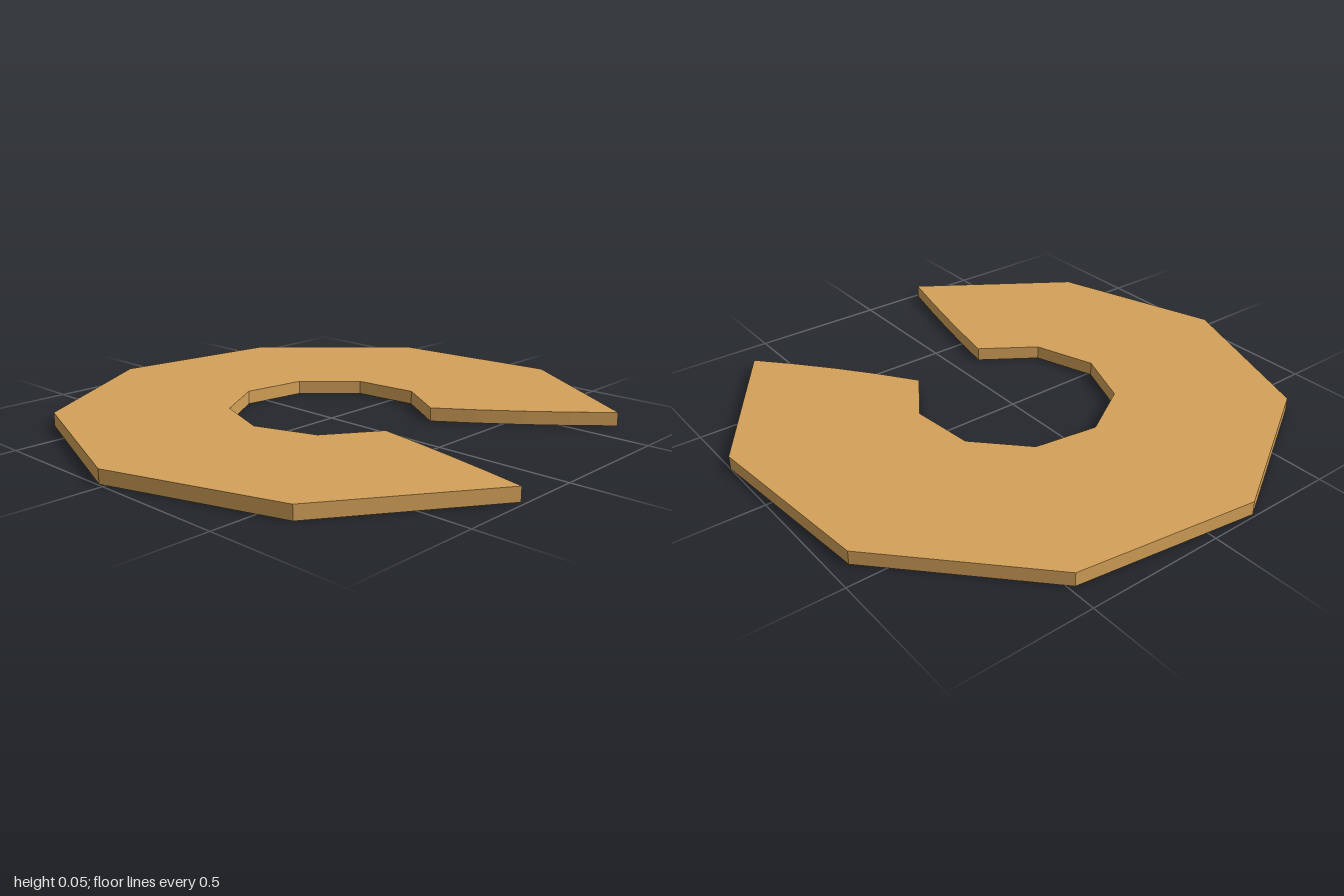
import * as THREE from 'three';

const THICKNESS = 0.05;
const BANDS = 4;

// Corners of the open ring as [x, z], from one cut end round to the other
const outer = [
  [0.81, -0.635], [0.255, -1], [-0.415, -0.94], [-0.9, -0.48], [-0.99, 0.18],
  [-0.65, 0.757], [-0.025, 0.995], [0.61, 0.795], [0.985, 0.24],
];
const inner = [
  [0.287, -0.22], [0.09, -0.35], [-0.155, -0.327], [-0.33, -0.16], [-0.363, 0.08],
  [-0.237, 0.287], [-0.013, 0.373], [0.217, 0.297], [0.35, 0.102],
];

// Outline at fraction t from the outer edge to the inner one; the cut ends bow slightly
function outline(t) {
  const bow = 4 * t * (1 - t);
  return outer.map(([x, z], i) => {
    const p = new THREE.Vector2(x, z).lerp(new THREE.Vector2(...inner[i]), t);
    if (i === 0) p.add(new THREE.Vector2(0.007, 0.012).multiplyScalar(bow));
    if (i === outer.length - 1) p.y -= 0.006 * bow;
    return p;
  });
}

export function createModel() {
  const model = new THREE.Group();
  model.name = 'openRingBench';
  const wood = new THREE.MeshStandardMaterial({ color: 0xd4a159 });
  wood.name = 'warm wood';

  // Concentric planks, each a flat open band
  for (let i = 0; i < BANDS; i++) {
    const shape = new THREE.Shape([
      ...outline(i / BANDS),
      ...outline((i + 1) / BANDS).reverse(),
    ]);
    const geometry = new THREE.ExtrudeGeometry(shape, { depth: THICKNESS, bevelEnabled: false });
    geometry.rotateX(Math.PI / 2).translate(0, THICKNESS, 0);
    const plank = new THREE.Mesh(geometry, wood);
    plank.name = `plankRing${i + 1}`;
    model.add(plank);
  }
  return model;
}
